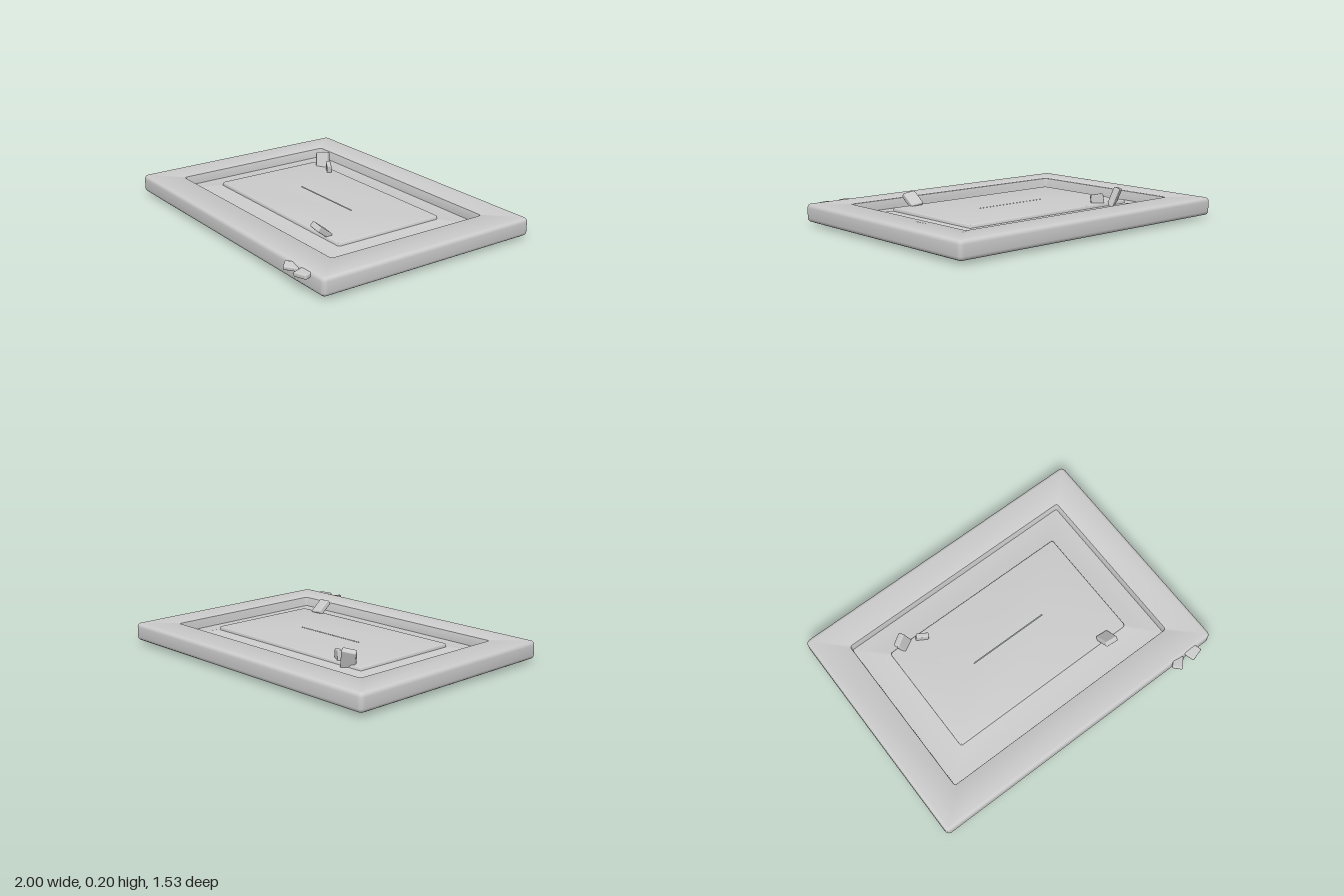
import * as THREE from 'three';
import { toCreasedNormals } from 'three/addons/utils/BufferGeometryUtils.js';
import { RoundedBoxGeometry } from 'three/addons/geometries/RoundedBoxGeometry.js';

const material = new THREE.MeshStandardMaterial({ color: 0xcccccc });
const CENTRE_Z = -0.036;
const CORNER_STEPS = 4;

// One rounded rectangle, counter-clockwise from above: half width, half depth, height, corner radius
function ring([hx, hz, y, r]) {
  const points = [];
  const corners = [[1, -1], [-1, -1], [-1, 1], [1, 1]];
  corners.forEach(([sx, sz], c) => {
    for (let i = 0; i <= CORNER_STEPS; i++) {
      const a = (c + i / CORNER_STEPS) * Math.PI / 2;
      points.push([sx * (hx - r) + r * Math.cos(a), y, CENTRE_Z + sz * (hz - r) - r * Math.sin(a)]);
    }
  });
  return points;
}

// Skin a list of rounded rectangles
function skin(name, profile) {
  const rings = profile.map(ring);
  const n = rings[0].length;
  const index = [];
  for (let k = 0; k < rings.length - 1; k++) {
    for (let i = 0; i < n; i++) {
      const j = (i + 1) % n;
      const a = k * n + i, b = k * n + j, c = a + n, d = b + n;
      index.push(a, b, d, a, d, c);
    }
  }
  const geometry = new THREE.BufferGeometry();
  geometry.setAttribute('position', new THREE.Float32BufferAttribute(rings.flat(2), 3));
  geometry.setIndex(index);
  const mesh = new THREE.Mesh(toCreasedNormals(geometry, 0.7), material);
  mesh.name = name;
  return mesh;
}

// Rounded edge: offsets along a quarter circle
function quarter(hx, hz, yc, r, from, to, corner, steps = 4) {
  return Array.from({ length: steps + 1 }, (_, i) => {
    const a = from + (to - from) * i / steps;
    const inset = r * (1 - Math.cos(a));
    return [hx - inset, hz - inset, yc + r * Math.sin(a), Math.max(corner - inset, 0.003)];
  });
}

function shard(name, size, position, rotation) {
  const mesh = new THREE.Mesh(new RoundedBoxGeometry(...size, 2, 0.008), material);
  mesh.name = name;
  mesh.position.set(...position);
  mesh.rotation.set(...rotation, 'YXZ');
  return mesh;
}

export function createModel() {
  const model = new THREE.Group();
  model.name = 'framedPanel';
  const q = Math.PI / 2;

  // Flat-backed border with rounded rim and recess wall
  model.add(skin('frame', [
    [0.002, 0.002, 0.02, 0.001],
    ...quarter(1, 0.734, 0.044, 0.024, -q, 0, 0.028),
    ...quarter(1, 0.734, 0.106, 0.024, 0, q, 0.028),
    [0.808, 0.546, 0.13, 0.02],
    [0.802, 0.54, 0.127, 0.016],
    [0.8, 0.538, 0.121, 0.014],
    [0.795, 0.533, 0.07, 0.012],
  ]));

  // Sloping bed rising towards the middle
  model.add(skin('slopingBed', [
    [0.795, 0.533, 0.07, 0.012],
    [0.74, 0.478, 0.073, 0.012],
    [0.68, 0.418, 0.08, 0.012],
    [0.626, 0.362, 0.09, 0.012],
  ]));

  // Raised central field
  model.add(skin('raisedField', [
    [0.628, 0.363, 0.08, 0.014],
    ...quarter(0.628, 0.363, 0.1, 0.01, 0, q, 0.014),
    [0.3, 0.04, 0.11, 0.003],
    [0.262, 0.002, 0.11, 0.001],
  ]));

  // Small chips lodged in the surface and front edge
  const chips = new THREE.Group();
  chips.name = 'chips';
  chips.add(
    shard('backChip', [0.085, 0.13, 0.04], [-0.53, 0.134, -0.395], [-0.35, 0.5, 0.15]),
    shard('thinBackChip', [0.08, 0.16, 0.03], [-0.417, 0.083, -0.365], [0.05, -0.53, -0.12]),
    shard('frontChip', [0.085, 0.11, 0.035], [0.473, 0.14, 0.335], [0.9, -0.2, -0.2]),
    shard('edgeChipLeft', [0.065, 0.025, 0.085], [0.729, 0.107, 0.708], [-0.1, -0.75, -0.15]),
    shard('edgeChipRight', [0.085, 0.028, 0.08], [0.843, 0.107, 0.707], [0.05, 0.3, 0.03]),
  );
  model.add(chips);
  return model;
}
